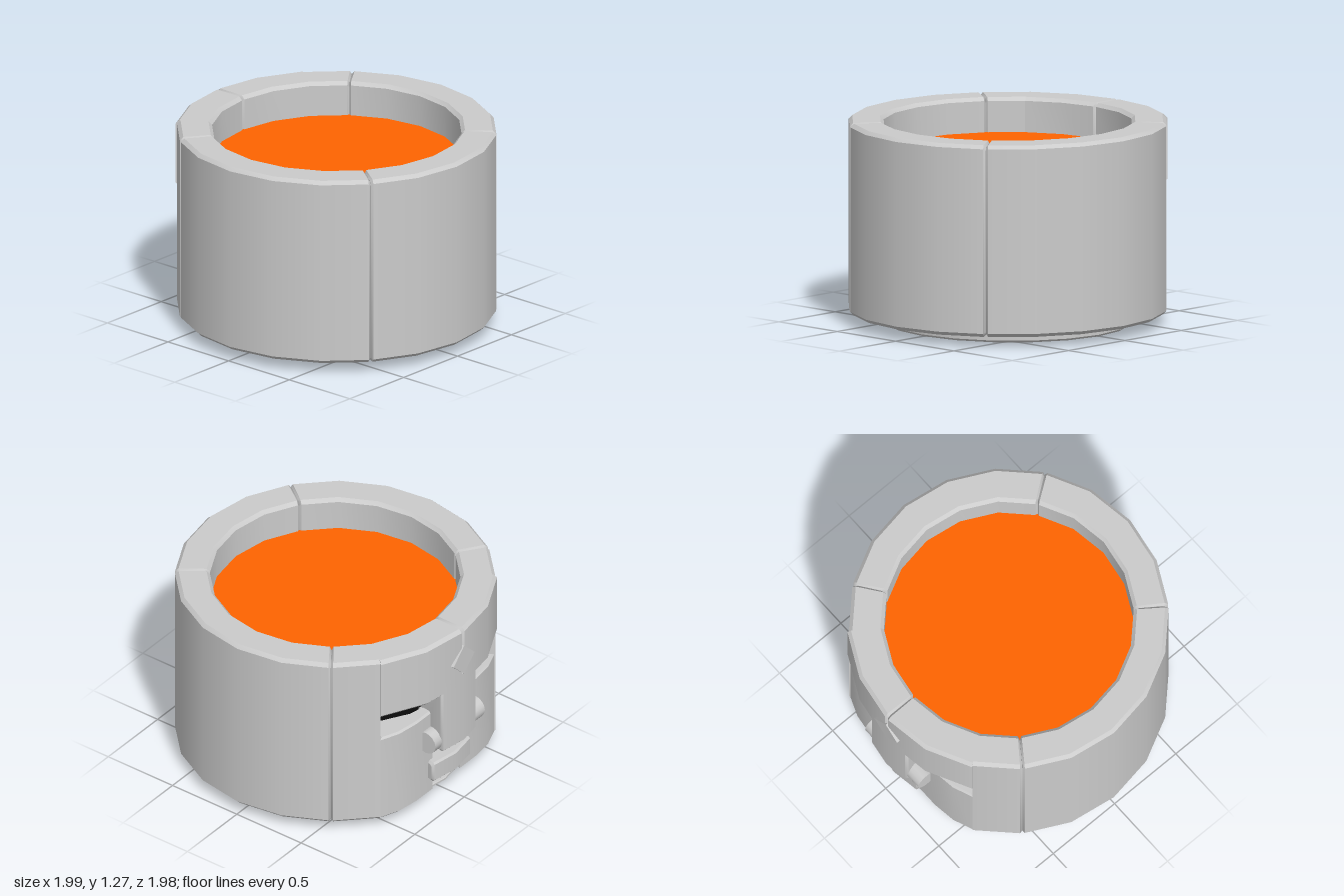
import * as THREE from 'three';
import { toCreasedNormals } from 'three/addons/utils/BufferGeometryUtils.js';

const grey = new THREE.MeshStandardMaterial({ color: 0xcccccc });
const orange = new THREE.MeshStandardMaterial({ color: 0xff6400, side: THREE.DoubleSide });
const black = new THREE.MeshStandardMaterial({ color: 0x0c0c0c, side: THREE.DoubleSide });
const STEP = 18, RAD = Math.PI / 180;

// Radius factor that keeps points on the flats of a 20-sided ring
function flat(deg) {
  const local = ((deg % STEP) + STEP) % STEP - STEP / 2;
  return Math.cos(STEP / 2 * RAD) / Math.cos(local * RAD);
}

// Chamfered rectangle in (radius, height), counterclockwise
function profile(r0, r1, y0, y1, c) {
  return [
    [r0 + c, y0], [r1 - c, y0], [r1, y0 + c], [r1, y1 - c],
    [r1 - c, y1], [r0 + c, y1], [r0, y1 - c], [r0, y0 + c],
  ];
}

// Chamfered block swept around the ring from angle a0 to a1 (degrees)
function arcBlock({ a0, a1, r0, r1, y0, y1, c = 0.012, b = 0.014, startBevel = true, endBevel = true }) {
  const full = profile(r0, r1, y0, y1, c);
  const d = b / r1 / RAD;
  const small = profile(r0 + b, r1 - b, y0 + b, y1 - b, c);
  const sections = [];
  if (startBevel) sections.push([a0, small]);
  const s = startBevel ? a0 + d : a0, e = endBevel ? a1 - d : a1;
  sections.push([s, full]);
  for (let a = Math.ceil(s / STEP + 0.01) * STEP; a < e - 0.1; a += STEP) sections.push([a, full]);
  sections.push([e, full]);
  if (endBevel) sections.push([a1, small]);

  const pos = [], index = [], n = full.length;
  for (const [a, prof] of sections) {
    for (const [r, y] of prof) {
      const k = r * flat(a);
      pos.push(k * Math.cos(a * RAD), y, k * Math.sin(a * RAD));
    }
  }
  const last = (sections.length - 1) * n;
  for (let i = 0; i < last; i += n) {
    for (let j = 0; j < n; j++) {
      const j2 = (j + 1) % n;
      index.push(i + j, i + j2, i + n + j2, i + j, i + n + j2, i + n + j);
    }
  }
  for (let j = 1; j < n - 1; j++) {
    index.push(0, j + 1, j, last, last + j, last + j + 1);
  }
  const g = new THREE.BufferGeometry();
  g.setAttribute('position', new THREE.Float32BufferAttribute(pos, 3));
  g.setIndex(index);
  const out = toCreasedNormals(g, 0.6);

  // Radial normals on the outer wall, so neighbouring blocks shade as one
  const p = out.attributes.position, nor = out.attributes.normal;
  for (let i = 0; i < p.count; i++) {
    const r = Math.hypot(p.getX(i), p.getZ(i));
    const x = p.getX(i) / r, z = p.getZ(i) / r;
    if (nor.getX(i) * x + nor.getZ(i) * z > 0.96) nor.setXYZ(i, x, 0, z);
  }
  return out;
}

// Upright block with a plan outline of [x, z] points and small bevels
function planBlock(points, y0, y1) {
  const b = 0.012;
  const shape = new THREE.Shape(points.map(([x, z]) => new THREE.Vector2(x, z)));
  const g = new THREE.ExtrudeGeometry(shape, {
    depth: y1 - y0 - 2 * b, bevelSize: b, bevelThickness: b, bevelOffset: -b, bevelSegments: 1,
  });
  return toCreasedNormals(g.rotateX(Math.PI / 2).translate(0, y1 - b, 0), 0.6);
}

export function createModel() {
  const model = new THREE.Group();
  const ring = new THREE.Group();
  ring.name = 'ring';
  ring.position.x = 0.004;
  model.add(ring);
  const add = (name, geometry, material = grey, parent = ring) => {
    const mesh = new THREE.Mesh(geometry, material);
    mesh.name = name;
    parent.add(mesh);
    return mesh;
  };

  // Ring segments with bevelled seams
  const wall = { r0: 0.773, r1: 0.99, y0: 0.068, y1: 1.268, c: 0.022 };
  const gap = 0.04;
  for (const [a0, a1] of [[-36, 36], [36, 126], [234, 324]]) {
    add('ringSegment', arcBlock({ ...wall, a0: a0 + gap, a1: a1 - gap }));
  }

  // Two latch-side segments, cut away below the upper band
  const window0 = 144, window1 = 216;
  const band = { ...wall, r1: 0.999, y0: 0.838 };
  add('latchColumn', arcBlock({ ...wall, a0: 126 + gap, a1: window0, endBevel: false }));
  add('latchColumn', arcBlock({ ...wall, a0: window1, a1: 234 - gap, startBevel: false }));
  add('latchBand', arcBlock({ ...band, a0: window0, a1: 180 - gap, startBevel: false }));
  add('latchBand', arcBlock({ ...band, a0: 180 + gap, a1: window1, endBevel: false }));

  // Panels filling the cut-out either side of a recessed middle
  for (const s of [1, -1]) {
    const plan = [[-0.795, 0.575], [-0.845, 0.45], [-0.865, 0.3], [-0.865, 0.14],
      [-0.79, 0.14], [-0.765, 0.25], [-0.64, 0.465]];
    add('sidePanel', planBlock(plan.map(([x, z]) => [x, s * z]), 0.07, 0.675));
  }
  add('middlePanel', arcBlock({ a0: 168, a1: 192, r0: 0.785, r1: 0.82, y0: 0.07, y1: 0.665 }));
  add('latchFloor', arcBlock({ a0: 137, a1: 223, r0: 0.62, r1: 0.855, y0: 0.062, y1: 0.082, c: 0.004, b: 0.004 }));
  add('darkBacking', new THREE.CylinderGeometry(0.784, 0.784, 0.38, 4, 1, true,
    (270 - 36) * RAD, 72 * RAD).translate(0, 0.68, 0), black);

  // Latch: hanging tongue, crossbar, catch block and diamond stud
  add('latchTongue', arcBlock({ a0: 170.5, a1: 190.5, r0: 0.79, r1: 0.999, y0: 0.42, y1: 0.95 }));
  const bar = new THREE.CylinderGeometry(0.075, 0.075, 0.5, 16).rotateX(Math.PI / 2);
  add('latchCrossbar', toCreasedNormals(bar, 0.6)).position.set(-0.89, 0.495, 0.01);
  add('catchBlock', arcBlock({ a0: 168, a1: 192, r0: 0.8, r1: 0.94, y0: 0.175, y1: 0.315 }));
  const stud = new THREE.BoxGeometry(0.06, 0.15, 0.15).rotateX(Math.PI / 4);
  add('diamondStud', stud).position.set(-0.974, 1.04, 0);

  // Orange inset disc and the lip below the ring
  const disc = new THREE.CircleGeometry(0.78, 20).rotateX(-Math.PI / 2);
  add('insetDisc', disc, orange).position.y = 1.05;
  const lip = new THREE.LatheGeometry([
    new THREE.Vector2(0.765, 0), new THREE.Vector2(0.775, 0.012), new THREE.Vector2(0.775, 0.12),
  ], 20);
  const lipMesh = add('bottomLip', toCreasedNormals(lip, 0.6), grey, model);
  lipMesh.scale.set(0.97, 1, 1.02);
  lipMesh.position.x = 0.01;

  return model;
}
